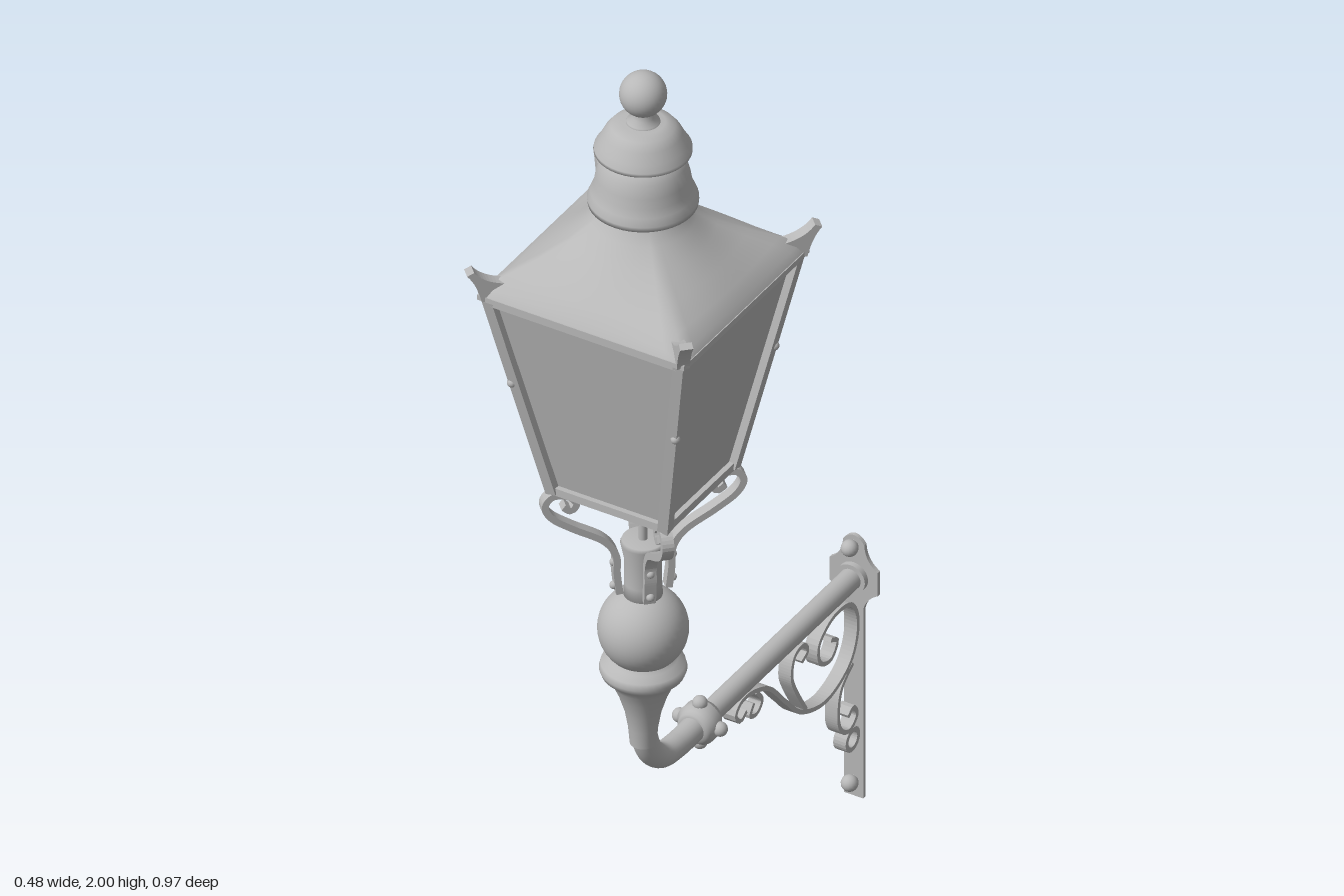
import * as THREE from 'three';

const iron = new THREE.MeshStandardMaterial({ color: 0xb8b8b8 });
iron.name = 'grey iron';
const V = (x, y, z) => new THREE.Vector3(x, y, z);

function add(parent, name, geometry, x = 0, y = 0, z = 0) {
  const mesh = new THREE.Mesh(geometry, iron);
  mesh.name = name;
  mesh.position.set(x, y, z);
  parent.add(mesh);
  return mesh;
}

const lathe = (pts, seg = 40) =>
  new THREE.LatheGeometry(pts.map(([r, y]) => new THREE.Vector2(r, y)), seg);

// Straight bar between two points
function bar(parent, name, a, b, radius, sides) {
  const dir = b.clone().sub(a);
  let g = new THREE.CylinderGeometry(radius, radius, dir.length(), sides);
  if (sides === 4) {
    g.rotateY(Math.PI / 4);
    g = g.toNonIndexed();
    g.computeVertexNormals();
  }
  const m = add(parent, name, g);
  m.quaternion.setFromUnitVectors(V(0, 1, 0), dir.normalize());
  m.position.copy(a).add(b).multiplyScalar(0.5);
  return m;
}

// Flat plate from an outline, centred on its depth
function plate(shape, depth) {
  return new THREE.ExtrudeGeometry(shape, { depth, bevelEnabled: false }).translate(0, 0, -depth / 2);
}

// Flat iron strip bent along a 2D path
function strip(pts, thickness, width) {
  const curve = new THREE.SplineCurve(pts.map(([x, y]) => new THREE.Vector2(x, y)));
  const n = pts.length * 6, left = [], right = [];
  for (let i = 0; i <= n; i++) {
    const p = curve.getPointAt(i / n), t = curve.getTangentAt(i / n);
    const o = new THREE.Vector2(-t.y, t.x).multiplyScalar(thickness / 2);
    left.push(p.clone().add(o));
    right.unshift(p.clone().sub(o));
  }
  return plate(new THREE.Shape([...left, ...right]), width);
}

// Roof: rings that change from a circle to a square
function roofGeometry() {
  const rings = [[1.735, 0.07, 0], [1.715, 0.076, 0], [1.69, 0.093, 0.1], [1.66, 0.122, 0.3],
    [1.63, 0.156, 0.6], [1.605, 0.186, 0.85], [1.585, 0.205, 1], [1.568, 0.215, 1]];
  const seg = 64, pos = [], idx = [];
  for (const [y, r, square] of rings)
    for (let i = 0; i < seg; i++) {
      const a = (i / seg) * Math.PI * 2, c = Math.cos(a), s = Math.sin(a);
      const k = r * (1 - square + square / Math.max(Math.abs(c), Math.abs(s)));
      pos.push(c * k, y, s * k);
    }
  for (let j = 0; j < rings.length - 1; j++)
    for (let i = 0; i < seg; i++) {
      const a = j * seg + i, b = j * seg + (i + 1) % seg;
      idx.push(a, b, a + seg, b, b + seg, a + seg);
    }
  const g = new THREE.BufferGeometry();
  g.setAttribute('position', new THREE.Float32BufferAttribute(pos, 3));
  g.setIndex(idx);
  g.computeVertexNormals();
  return g;
}

function buildLantern() {
  const g = new THREE.Group();
  g.name = 'lantern';
  g.position.z = 0.25;

  // Finial and two-tier vent cap
  add(g, 'finialBall', new THREE.SphereGeometry(0.043, 32, 20), 0, 1.957, 0);
  add(g, 'finialNeck', lathe([[0, 1.88], [0.034, 1.888], [0.03, 1.9], [0.02, 1.908], [0.02, 1.925]]));
  add(g, 'upperVentCap', lathe([[0, 1.83], [0.08, 1.832], [0.088, 1.836], [0.088, 1.843], [0.08, 1.855],
    [0.07, 1.875], [0.058, 1.89], [0.04, 1.897], [0, 1.898]]));
  add(g, 'lowerVentCap', lathe([[0.06, 1.725], [0.099, 1.725], [0.1, 1.735], [0.094, 1.75], [0.088, 1.765],
    [0.085, 1.785], [0.078, 1.81], [0.066, 1.826], [0.05, 1.834], [0, 1.836]]));
  add(g, 'roof', roofGeometry());

  // Tapered glazed body
  const top = 0.2, low = 0.116, yTop = 1.565, yLow = 1.127;
  const body = new THREE.CylinderGeometry((top - 0.004) * Math.SQRT2, (low - 0.004) * Math.SQRT2, yTop - yLow, 4)
    .rotateY(Math.PI / 4).toNonIndexed();
  body.computeVertexNormals();
  add(g, 'panes', body, 0, (yTop + yLow) / 2, 0);
  add(g, 'eaves', new THREE.BoxGeometry(0.43, 0.01, 0.43), 0, 1.566, 0);

  const horn = new THREE.Shape();
  horn.moveTo(0.24, 1.562);
  horn.lineTo(0.298, 1.562);
  horn.quadraticCurveTo(0.306, 1.6, 0.325, 1.622);
  horn.lineTo(0.312, 1.628);
  horn.quadraticCurveTo(0.29, 1.598, 0.24, 1.594);

  // Scroll legs, corner bars, rails and horns repeat on four sides
  const leg = [[0.045, 0.885], [0.05, 0.93], [0.052, 0.97], [0.075, 1.005], [0.13, 1.04], [0.168, 1.068],
    [0.182, 1.095], [0.168, 1.115], [0.14, 1.112], [0.124, 1.095], [0.134, 1.08], [0.148, 1.09]];
  for (let i = 0; i < 4; i++) {
    const side = new THREE.Group();
    side.name = 'lanternSide' + (i + 1);
    side.rotation.y = (i * Math.PI) / 2;
    g.add(side);
    bar(side, 'cornerBar', V(low, yLow - 0.005, low), V(top, yTop, top), 0.015, 4);
    bar(side, 'bottomRail', V(-low, yLow, low), V(low, yLow, low), 0.011, 4);
    bar(side, 'topRail', V(-top, yTop - 0.008, top), V(top, yTop - 0.008, top), 0.011, 4);
    add(side, 'barStud', new THREE.SphereGeometry(0.009, 12, 8), 0.17, 1.37, 0.17);
    add(side, 'cornerHorn', plate(horn, 0.024)).rotation.y = -Math.PI / 4;
    add(side, 'scrollLeg', strip(leg, 0.013, 0.022)).rotation.y = -Math.PI / 4;
    for (const y of [0.9, 0.95])
      add(side, 'legRivet', new THREE.SphereGeometry(0.008, 12, 8), 0.038, y, 0.038);
  }

  // Central rod, socket, ball and bell
  bar(g, 'centreRod', V(0, 0.97, 0), V(0, 1.14, 0), 0.008, 12);
  add(g, 'socket', lathe([[0, 0.86], [0.036, 0.86], [0.034, 0.9], [0.034, 0.95], [0.041, 0.985], [0.038, 0.992], [0, 0.992]]));
  add(g, 'columnBall', new THREE.SphereGeometry(0.082, 40, 24), 0, 0.8, 0);
  add(g, 'bell', lathe([[0.024, 0.55], [0.027, 0.585], [0.033, 0.62], [0.044, 0.655], [0.055, 0.68], [0.062, 0.692],
    [0.075, 0.703], [0.079, 0.714], [0.076, 0.726], [0.062, 0.735], [0.055, 0.745]]));
  return g;
}

function buildBracket() {
  const g = new THREE.Group();
  g.name = 'wallBracket';

  // Curved elbow and straight arm
  const bend = new THREE.CatmullRomCurve3([[0.25, 0.62], [0.249, 0.575], [0.228, 0.52], [0.19, 0.486],
    [0.14, 0.476], [0.05, 0.476]].map(([z, y]) => V(0, y, z)));
  add(g, 'elbow', new THREE.TubeGeometry(bend, 40, 0.024, 24));
  bar(g, 'arm', V(0, 0.476, 0.06), V(0, 0.476, -0.476), 0.021, 24);
  add(g, 'armCollar', lathe([[0.02, -0.027], [0.03, -0.027], [0.033, -0.018], [0.04, -0.012], [0.04, 0.012],
    [0.033, 0.018], [0.03, 0.027], [0.02, 0.027]]).rotateX(Math.PI / 2), 0, 0.476, 0.055);
  for (let i = 0; i < 4; i++) {
    const a = (i * Math.PI) / 2;
    add(g, 'collarStud', new THREE.SphereGeometry(0.014, 16, 12), Math.cos(a) * 0.042, 0.476 + Math.sin(a) * 0.042, 0.055);
  }
  bar(g, 'armFlange', V(0, 0.476, -0.462), V(0, 0.476, -0.477), 0.03, 24);

  // Wall plate with a swelling around the arm
  const s = new THREE.Shape();
  s.moveTo(-0.02, 0);
  s.lineTo(0.02, 0);
  s.lineTo(0.02, 0.41);
  s.quadraticCurveTo(0.025, 0.435, 0.05, 0.45);
  s.lineTo(0.05, 0.5);
  s.quadraticCurveTo(0.024, 0.515, 0.022, 0.55);
  s.quadraticCurveTo(0, 0.58, -0.022, 0.55);
  s.quadraticCurveTo(-0.024, 0.515, -0.05, 0.5);
  s.lineTo(-0.05, 0.45);
  s.quadraticCurveTo(-0.025, 0.435, -0.02, 0.41);
  add(g, 'wallPlate', plate(s, 0.008), 0, 0, -0.477);
  for (const y of [0.545, 0.035]) {
    bar(g, 'boltShank', V(0, y, -0.476), V(0, y, -0.458), 0.01, 12);
    add(g, 'boltHead', new THREE.SphereGeometry(0.016, 16, 12), 0, y, -0.459);
  }

  // Scrollwork under the arm, as (z, y) paths
  const scrolls = {
    mainScroll: [[-0.085, 0.42], [-0.065, 0.41], [-0.048, 0.43], [-0.068, 0.45], [-0.11, 0.447], [-0.165, 0.42],
      [-0.217, 0.362], [-0.275, 0.304], [-0.36, 0.278], [-0.44, 0.31], [-0.468, 0.378], [-0.445, 0.435],
      [-0.385, 0.445], [-0.335, 0.415], [-0.338, 0.372], [-0.375, 0.358], [-0.397, 0.385], [-0.375, 0.4]],
    smallCurl: [[-0.11, 0.422], [-0.098, 0.402], [-0.12, 0.394], [-0.138, 0.412], [-0.12, 0.44]],
    innerCurl: [[-0.275, 0.412], [-0.295, 0.425], [-0.28, 0.446], [-0.25, 0.438], [-0.24, 0.4], [-0.255, 0.36], [-0.29, 0.3]],
    lowerScroll: [[-0.45, 0.305], [-0.41, 0.27], [-0.4, 0.215], [-0.412, 0.18], [-0.44, 0.166], [-0.464, 0.185],
      [-0.452, 0.208], [-0.434, 0.198]],
  };
  for (const [name, pts] of Object.entries(scrolls))
    add(g, name, strip(pts, 0.009, 0.026).rotateY(-Math.PI / 2));
  const ring = new THREE.Shape().absarc(0, 0, 0.025, 0, Math.PI * 2);
  ring.holes.push(new THREE.Path().absarc(0, 0, 0.015, 0, Math.PI * 2));
  add(g, 'lowerRing', plate(ring, 0.026).rotateY(-Math.PI / 2), 0, 0.14, -0.449);
  return g;
}

export function createModel() {
  const model = new THREE.Group();
  model.name = 'wallLantern';
  model.add(buildLantern(), buildBracket());
  return model;
}
